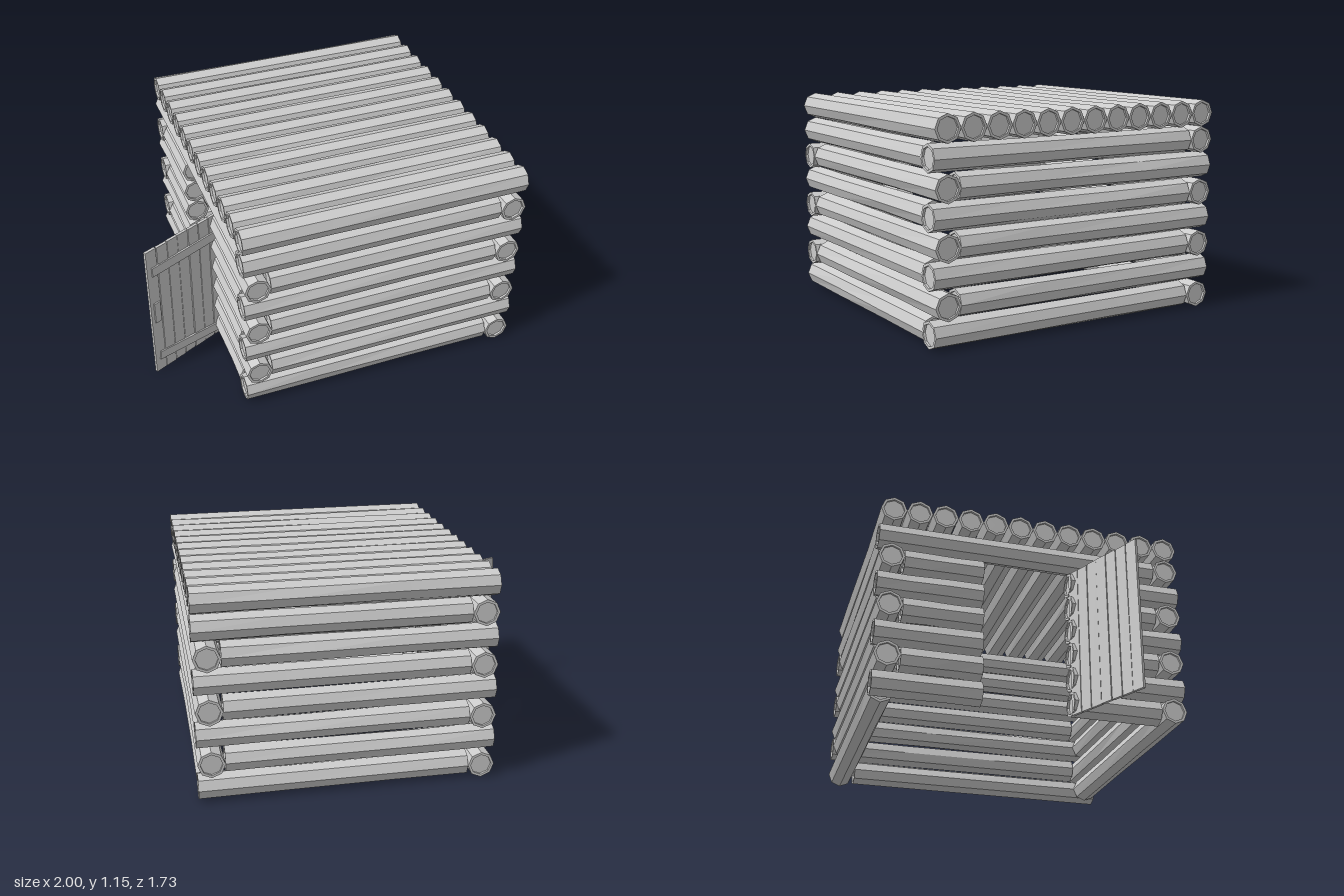
import * as THREE from 'three';

const R = 0.072, D = 2 * R;          // log radius and course height
const X0 = -0.59, X1 = 1, Z = 0.864; // outer limits of the walls
const COURSES = 7, DOOR_COURSES = 6;
const DOOR_BACK = -0.28, DOOR_FRONT = 0.22;

let seed = 7;
const rnd = () => {
  seed = (seed * 16807) % 2147483647;
  return seed / 2147483647 - 0.5;
};

const wood = new THREE.MeshStandardMaterial({ color: 0xcccccc, flatShading: true });

// Eight-sided log along y with recessed end faces and a slightly uneven middle
function logGeometry(length) {
  const h = length / 2, ri = R * 0.8, d = 0.012;
  const profile = [[0, d - h], [ri, d - h], [ri, -h], [R, -h],
    [R, -h * 0.4], [R, h * 0.35], [R, h], [ri, h], [ri, h - d], [0, h - d]]
    .map(([x, y]) => new THREE.Vector2(x, y));
  const geo = new THREE.LatheGeometry(profile, 8);
  const pos = geo.attributes.position, n = profile.length;
  for (const ring of [4, 5]) {
    const scales = Array.from({ length: 8 }, () => 0.97 + rnd() * 0.1);
    for (let side = 0; side <= 8; side++) {
      const k = side * n + ring, s = scales[side % 8];
      pos.setXYZ(k, pos.getX(k) * s, pos.getY(k), pos.getZ(k) * s);
    }
  }
  return geo;
}

// Log running from a to b along the x or z axis
function addLog(parent, name, axis, a, b, y, across) {
  const geo = logGeometry(b - a);
  if (axis === 'x') geo.rotateZ(-Math.PI / 2);
  else geo.rotateX(Math.PI / 2);
  const mesh = new THREE.Mesh(geo, wood);
  mesh.name = name;
  const mid = (a + b) / 2;
  if (axis === 'x') mesh.position.set(mid, y, across);
  else mesh.position.set(across, y, mid);
  parent.add(mesh);
}

function addBoard(parent, name, w, h, d, x, y, z, tilt = 0) {
  const mesh = new THREE.Mesh(new THREE.BoxGeometry(w, h, d), wood);
  mesh.name = name;
  mesh.position.set(x, y, z);
  mesh.rotation.z = tilt;
  parent.add(mesh);
}

function makeWalls() {
  const walls = new THREE.Group();
  walls.name = 'walls';
  for (let i = 0; i < COURSES; i++) {
    const y = R + i * D, even = i % 2 === 0;
    // corners interlock: each log passes one corner and butts at the other
    const [fa, fb] = even ? [X0, X1 - D] : [X0 + D, X1];
    const [ba, bb] = even ? [X0 + D, X1] : [X0, X1 - D];
    const [la, lb] = even ? [D - Z, Z] : [-Z, Z - D];
    const [ra, rb] = even ? [-Z, Z - D] : [D - Z, Z];
    addLog(walls, 'frontWallLog', 'x', fa, fb, y, Z - R);
    addLog(walls, 'backWallLog', 'x', ba, bb, y, R - Z);
    addLog(walls, 'leftWallLog', 'z', la, lb, y, X1 - R);
    // the doorway interrupts the right wall below the lintel log
    if (i < DOOR_COURSES) {
      addLog(walls, 'doorwayBackLog', 'z', ra, DOOR_BACK, y, X0 + R);
      addLog(walls, 'doorwayFrontLog', 'z', DOOR_FRONT, rb, y, X0 + R);
    } else {
      addLog(walls, 'lintelLog', 'z', ra, rb, y, X0 + R);
    }
  }
  return walls;
}

function makeRoof() {
  const roof = new THREE.Group();
  roof.name = 'roof';
  for (let i = 0; i < 12; i++) {
    addLog(roof, 'roofLog', 'x', X0, X1, R + COURSES * D, R - Z + i * D);
  }
  return roof;
}

// Plank door standing open, its hinge at the local origin
function makeDoor() {
  const door = new THREE.Group();
  door.name = 'door';
  const pitch = 0.073;
  for (let i = 0; i < 7; i++) {
    const h = 0.853 + rnd() * 0.006;
    addBoard(door, 'doorPlank', pitch - 0.004, h, 0.016,
      -(i + 0.5) * pitch, h / 2 + 0.001, rnd() * 0.004, rnd() * 0.006);
  }
  addBoard(door, 'upperBatten', 0.46, 0.057, 0.012, -0.25, 0.716, 0.011, 0.012);
  addBoard(door, 'lowerBatten', 0.46, 0.055, 0.012, -0.25, 0.082, 0.011, -0.13);
  addBoard(door, 'doorHandle', 0.04, 0.135, 0.012, -0.468, 0.43, 0.011);
  door.position.set(-0.535, 0, 0.225);
  door.rotation.y = 0.435;
  return door;
}

export function createModel() {
  seed = 7;
  const cabin = new THREE.Group();
  cabin.name = 'logCabin';
  cabin.add(makeWalls(), makeRoof(), makeDoor());
  return cabin;
}
